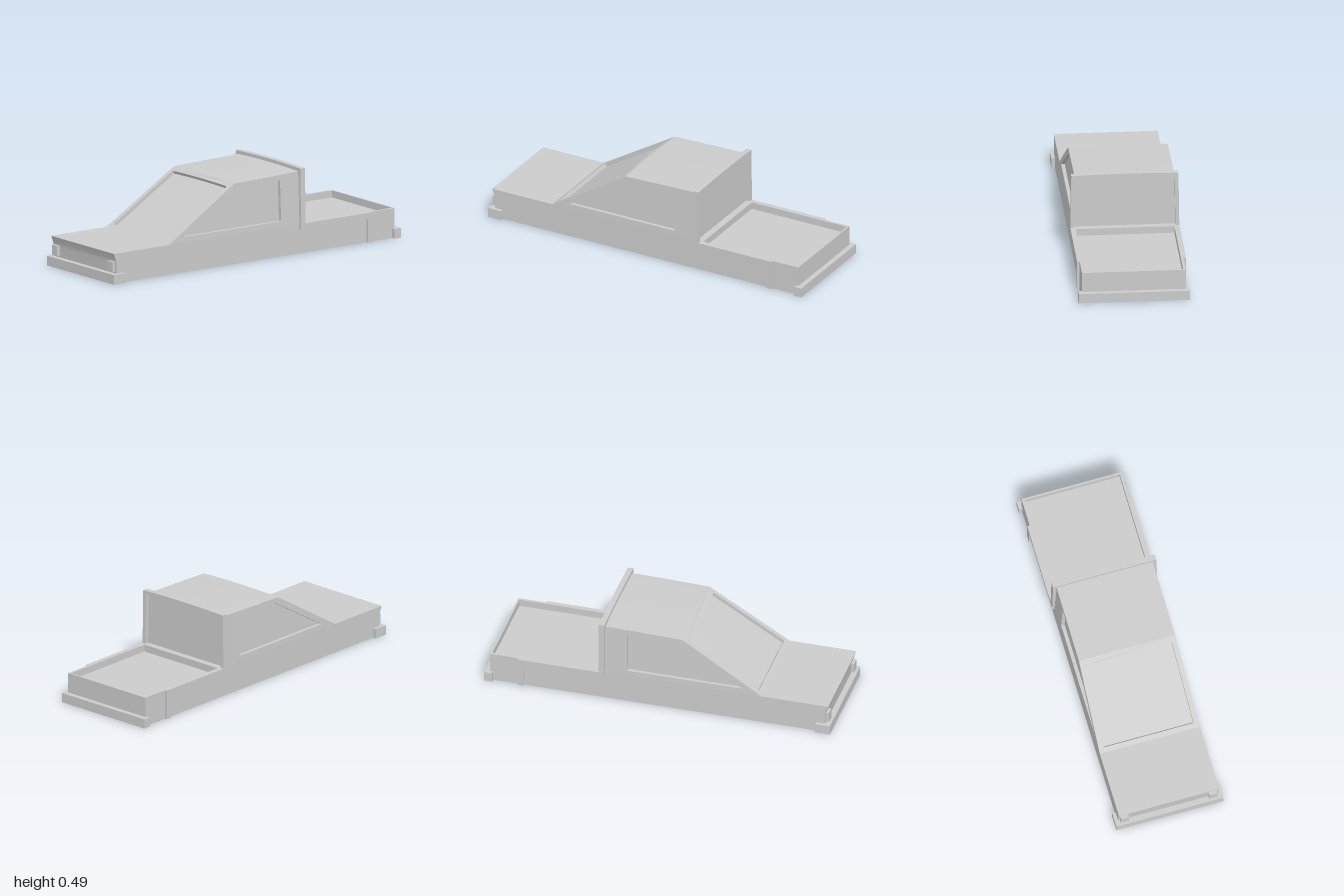
import * as THREE from 'three';
import { toCreasedNormals } from 'three/addons/utils/BufferGeometryUtils.js';

const grey = new THREE.MeshStandardMaterial({ color: 0xcccccc });
const V = (x, y, z) => new THREE.Vector3(x, y, z);

// Half-width of the body (cab tapers above the beltline) and crown of the roof
const halfWidth = y => 0.29 - 0.012 * Math.max(0, (y - 0.17) / 0.295);
const crown = u => 0.006 * (1 - u * u);

function addMesh(parent, name, geometry) {
  const mesh = new THREE.Mesh(geometry, grey);
  mesh.name = name;
  parent.add(mesh);
  return mesh;
}

function addBox(parent, name, x0, x1, y0, y1, z0, z1) {
  const mesh = addMesh(parent, name, new THREE.BoxGeometry(x1 - x0, y1 - y0, z1 - z0));
  mesh.position.set((x0 + x1) / 2, (y0 + y1) / 2, (z0 + z1) / 2);
}

// A panel with an optional sunken pane; place(u, v, depth) puts it in space, depth going inward
function panel(outline, hole, depth, place) {
  const toShape = pts => new THREE.Shape(pts.map(p => new THREE.Vector2(...p)));
  const pos = [];
  const o = place(0.3, 0.3, 0), e = 0.01;
  const du = place(0.3 + e, 0.3, 0).sub(o), dv = place(0.3, 0.3 + e, 0).sub(o);
  const flip = du.cross(dv).dot(place(0.3, 0.3, e).sub(o)) > 0;
  const tri = (a, b, c) => (flip ? [a, c, b] : [a, b, c]).forEach(p => pos.push(...place(...p).toArray()));
  const fill = (shape, d) => {
    const g = new THREE.ShapeGeometry(shape), p = g.attributes.position, ix = g.index.array;
    const at = i => [p.getX(i), p.getY(i), d];
    for (let i = 0; i < ix.length; i += 3) tri(at(ix[i]), at(ix[i + 1]), at(ix[i + 2]));
  };
  const face = toShape(outline);
  if (hole) {
    const pts = hole.map(p => new THREE.Vector2(...p));
    if (THREE.ShapeUtils.isClockWise(pts)) pts.reverse();
    face.holes.push(new THREE.Path(pts));
    fill(new THREE.Shape(pts), depth);
    pts.forEach((a, i) => {
      const b = pts[(i + 1) % pts.length];
      tri([a.x, a.y, 0], [b.x, b.y, 0], [b.x, b.y, depth]);
      tri([a.x, a.y, 0], [b.x, b.y, depth], [a.x, a.y, depth]);
    });
  }
  fill(face, 0);
  const g = new THREE.BufferGeometry();
  g.setAttribute('position', new THREE.Float32BufferAttribute(pos, 3));
  return toCreasedNormals(g, 0.4);
}

// Skin across the car through rows of [z, y, crown amount], listed from front to back
function skin(rows, n = 12) {
  const pos = [], index = [];
  rows.forEach(([z, y, c]) => {
    for (let i = 0; i <= n; i++) {
      const u = -1 + 2 * i / n;
      pos.push(u * halfWidth(y), y + c * crown(u), z);
    }
  });
  for (let r = 0; r < rows.length - 1; r++)
    for (let i = 0; i < n; i++) {
      const a = r * (n + 1) + i, b = a + n + 1;
      index.push(a, a + 1, b + 1, a, b + 1, b);
    }
  const g = new THREE.BufferGeometry();
  g.setAttribute('position', new THREE.Float32BufferAttribute(pos, 3));
  g.setIndex(index);
  return toCreasedNormals(g, 0.5);
}

// Rectangle whose top edge is divided so that it can follow the crown
function dividedRect(u, v0, v1, n = 10) {
  const pts = [[-u, v0], [u, v0]];
  for (let i = 0; i <= n; i++) pts.push([u - 2 * u * i / n, v1]);
  return pts;
}

export function createModel() {
  const car = new THREE.Group();

  // Nose, bonnet, roof, tail and floor
  addMesh(car, 'noseAndBonnet', skin([[0.968, 0, 0], [0.968, 0.115, 0], [0.973, 0.14, 0], [0.985, 0.17, 0], [0.6, 0.17, 0]]));
  addMesh(car, 'roof', skin([[0.14, 0.455, 1], [-0.1, 0.462, 1], [-0.31, 0.466, 1]]));
  addMesh(car, 'tail', skin([[-0.97, 0.17, 0], [-0.97, 0, 0]]));
  addMesh(car, 'floor', skin([[-0.97, 0, 0], [0.968, 0, 0]]));

  // Windscreen: sunken glass in the sloping front of the cab
  const n = V(0, 0.46, 0.285).normalize();
  addMesh(car, 'windscreen', panel(dividedRect(1, 0, 1), dividedRect(0.9, 0.055, 0.937), 0.02, (u, v, d) => {
    const y = 0.17 + 0.285 * v;
    return V(u * halfWidth(y), y + crown(u) * v - n.y * d, 0.6 - 0.46 * v - n.z * d);
  }));

  // Load bed with sunken floor
  const rect = (x, z0, z1) => [[-x, z0], [x, z0], [x, z1], [-x, z1]];
  addMesh(car, 'loadBed', panel(rect(0.29, -0.97, -0.31), rect(0.275, -0.96, -0.355), 0.04,
    (x, z, d) => V(x, 0.17 - d, z)));

  // Both sides
  const lower = [[-0.97, 0], [0.968, 0], [0.968, 0.115], [0.973, 0.14], [0.985, 0.17], [-0.97, 0.17]];
  const upper = [[-0.31, 0.17], [0.6, 0.17], [0.14, 0.455], [-0.31, 0.466]];
  const sideWindow = [[-0.18, 0.2], [0.49, 0.2], [0.12, 0.425], [-0.18, 0.432]];
  for (const s of [1, -1]) {
    const side = new THREE.Group();
    side.name = s > 0 ? 'leftSide' : 'rightSide';
    const place = (z, y, d) => V(s * (halfWidth(y) - d), y, z);
    addMesh(side, 'lowerSide', panel(lower, null, 0, place));
    addMesh(side, 'cabSide', panel(upper, sideWindow, 0.02, place));
    const box = (name, a, b, ...rest) => addBox(side, name, Math.min(s * a, s * b), Math.max(s * a, s * b), ...rest);
    box('bedRail', 0.275, 0.304, 0.137, 0.17, -0.805, -0.33);
    box('bedPost', 0.285, 0.304, 0, 0.17, -0.808, -0.775);
    box('headlamp', 0.232, 0.28, 0.065, 0.122, 0.95, 0.988);
    car.add(side);
  }

  // Raised frame around the back of the cab
  const frame = new THREE.Shape([[-0.304, 0.137], [0.304, 0.137], [0.304, 0.17]].map(p => new THREE.Vector2(...p)));
  for (let i = 0; i <= 12; i++) {
    const u = 1 - i / 6;
    frame.lineTo(0.299 * u, 0.484 + crown(u));
  }
  frame.lineTo(-0.304, 0.17);
  frame.holes.push(new THREE.Path(
    [[-0.283, 0.165], ...dividedRect(0.278, 0.165, 0.464).slice(2).map(([x, y]) => [x, y + crown(x / 0.278)]).reverse(), [0.283, 0.165]]
      .map(p => new THREE.Vector2(...p))));
  const frameGeo = new THREE.ExtrudeGeometry(frame, { depth: 0.032, bevelEnabled: false });
  addMesh(car, 'cabBackFrame', frameGeo.translate(0, 0, -0.339));
  addMesh(car, 'cabBack', panel(
    [[-0.29, 0.13], [0.29, 0.13], [0.285, 0.475], [-0.285, 0.475]], null, 0, (x, y, d) => V(x, y, -0.316 + d)));

  // Bumpers wrapping the corners
  addBox(car, 'frontBumper', -0.31, 0.31, 0, 0.055, 0.915, 1);
  addBox(car, 'rearBumper', -0.31, 0.31, 0, 0.055, -1, -0.952);
  return car;
}
